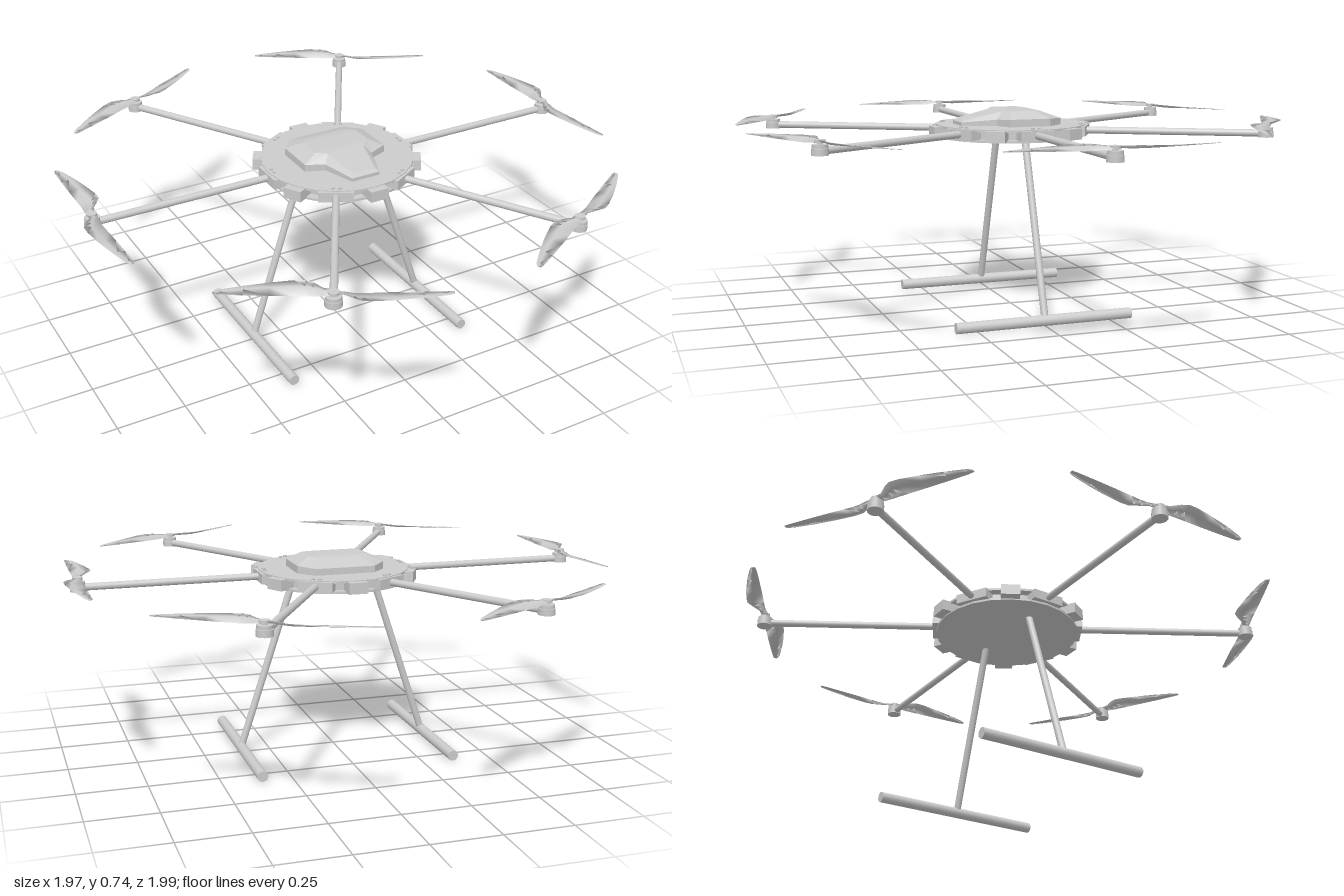
import * as THREE from 'three';

const smooth = new THREE.MeshStandardMaterial({ color: 0xcccccc });
const flat = new THREE.MeshStandardMaterial({ color: 0xcccccc, flatShading: true });
const thin = new THREE.MeshStandardMaterial({ color: 0xcccccc, side: THREE.DoubleSide });

function add(parent, name, geometry, material, x = 0, y = 0, z = 0) {
  const mesh = new THREE.Mesh(geometry, material);
  mesh.name = name;
  mesh.position.set(x, y, z);
  parent.add(mesh);
  return mesh;
}

// Round bar between two points
function bar(parent, name, from, to, radius) {
  const a = new THREE.Vector3(...from), b = new THREE.Vector3(...to);
  const mesh = add(parent, name, new THREE.CylinderGeometry(radius, radius, a.distanceTo(b), 16), smooth);
  mesh.position.copy(a).add(b).multiplyScalar(0.5);
  mesh.quaternion.setFromUnitVectors(new THREE.Vector3(0, 1, 0), b.sub(a).normalize());
  return mesh;
}

function meshGeometry(positions, index) {
  const g = new THREE.BufferGeometry();
  g.setAttribute('position', new THREE.Float32BufferAttribute(positions, 3));
  g.setIndex(index);
  g.computeVertexNormals();
  return g;
}

// Swept blade: diamond sections [distance, trailing edge, leading edge, twist]
function bladeGeometry() {
  const sections = [
    [0.0, -0.014, 0.014, 0.002], [0.03, -0.014, 0.018, 0.005], [0.06, -0.011, 0.042, 0.008],
    [0.085, -0.010, 0.056, 0.008], [0.12, -0.011, 0.056, 0.007], [0.19, -0.013, 0.046, 0.005],
    [0.27, -0.014, 0.030, 0.003], [0.34, -0.014, 0.012, 0.001], [0.36, -0.012, 0.003, 0],
  ];
  const p = [], idx = [];
  sections.forEach(([u, v0, v1, t], i) => {
    const mid = v0 + (v1 - v0) * 0.6, h = 0.004 - 0.003 * u / 0.36;
    p.push(v0, -t, -u, mid, h, -u, v1, t, -u, mid, -h, -u);
    if (i === 0) return;
    for (let k = 0; k < 4; k++) {
      const a = (i - 1) * 4 + k, b = (i - 1) * 4 + (k + 1) % 4;
      idx.push(a, b, b + 4, a, b + 4, a + 4);
    }
  });
  const e = (sections.length - 1) * 4;
  idx.push(e, e + 1, e + 2, e, e + 2, e + 3);
  return meshGeometry(p, idx);
}

// Faceted cover: three mirrored outlines, wide at the back with a sloping nose
function canopyGeometry() {
  const rings = [
    [[0.11, 0.685, -0.155], [0.163, 0.685, -0.095], [0.163, 0.685, 0.06], [0.095, 0.685, 0.085], [0.055, 0.685, 0.208]],
    [[0.11, 0.712, -0.155], [0.163, 0.715, -0.095], [0.163, 0.715, 0.06], [0.095, 0.711, 0.085], [0.055, 0.701, 0.208]],
    [[0.08, 0.738, -0.085], [0.11, 0.741, -0.055], [0.11, 0.741, 0.04], [0.072, 0.738, 0.062], [0.044, 0.71, 0.195]],
  ];
  const p = [], idx = [], n = 10;
  for (const half of rings) {
    const left = half.map(([x, y, z]) => [-x, y, z]).reverse();
    p.push(...half.flat(), ...left.flat());
  }
  for (let r = 0; r < 2; r++) {
    for (let i = 0; i < n; i++) {
      const a = r * n + i, b = r * n + (i + 1) % n;
      idx.push(b, a, a + n, b, a + n, b + n);
    }
  }
  for (let k = 0; k < 4; k++) {
    const r0 = 2 * n + k, l0 = 3 * n - 1 - k;
    idx.push(r0, l0, l0 - 1, r0, l0 - 1, r0 + 1);
  }
  return meshGeometry(p, idx);
}

export function createModel() {
  const model = new THREE.Group();
  model.name = 'hexacopter';

  // Hub: two plates with a core between them
  const hub = new THREE.Group();
  hub.name = 'hub';
  model.add(hub);
  add(hub, 'topPlate', new THREE.CylinderGeometry(0.278, 0.278, 0.009, 24), flat, 0, 0.6835, 0);
  add(hub, 'core', new THREE.CylinderGeometry(0.245, 0.245, 0.03, 24), flat, 0, 0.665, 0);
  add(hub, 'bottomPlate', new THREE.CylinderGeometry(0.272, 0.272, 0.009, 24), flat, 0, 0.6455, 0);
  add(hub, 'canopy', canopyGeometry(), flat);

  const blade = bladeGeometry();
  for (let i = 0; i < 6; i++) {
    // Arm assembly, pointing along its own +x
    const arm = new THREE.Group();
    arm.name = 'armAssembly';
    arm.rotation.y = i * Math.PI / 3;
    model.add(arm);
    bar(arm, 'arm', [0.2, 0.667, 0], [0.93, 0.667, 0], 0.013);
    add(arm, 'armBracket', new THREE.BoxGeometry(0.08, 0.036, 0.125), flat, 0.246, 0.667, 0);
    for (const s of [-1, 1]) {
      add(arm, 'bracketBolt', new THREE.CylinderGeometry(0.006, 0.006, 0.008, 8), smooth, 0.262, 0.69, s * 0.012);
    }

    // Motor and propeller
    add(arm, 'motorBase', new THREE.CylinderGeometry(0.028, 0.028, 0.022, 20), smooth, 0.93, 0.664, 0);
    add(arm, 'motorCan', new THREE.CylinderGeometry(0.026, 0.026, 0.012, 20), smooth, 0.93, 0.682, 0);
    add(arm, 'motorShaft', new THREE.CylinderGeometry(0.008, 0.008, 0.02, 12), smooth, 0.93, 0.692, 0);
    add(arm, 'propellerHub', new THREE.CylinderGeometry(0.018, 0.018, 0.01, 16), smooth, 0.93, 0.698, 0);
    for (let k = 0; k < 2; k++) {
      add(arm, 'propellerBlade', blade, thin, 0.93, 0.698, 0).rotation.y = k * Math.PI;
    }

    // Block on the rim between two arms
    const rim = new THREE.Group();
    rim.name = 'rimBlock';
    rim.rotation.y = (i + 0.5) * Math.PI / 3;
    model.add(rim);
    add(rim, 'block', new THREE.BoxGeometry(0.09, 0.04, 0.07), flat, 0.26, 0.665, 0);
  }

  // Landing gear
  for (const s of [-1, 1]) {
    bar(model, 'leg', [s * 0.15, 0.655, 0], [s * 0.36, 0.02, 0], 0.013);
    bar(model, 'skid', [s * 0.36, 0.02, -0.33], [s * 0.36, 0.02, 0.33], 0.0195);
  }
  return model;
}
